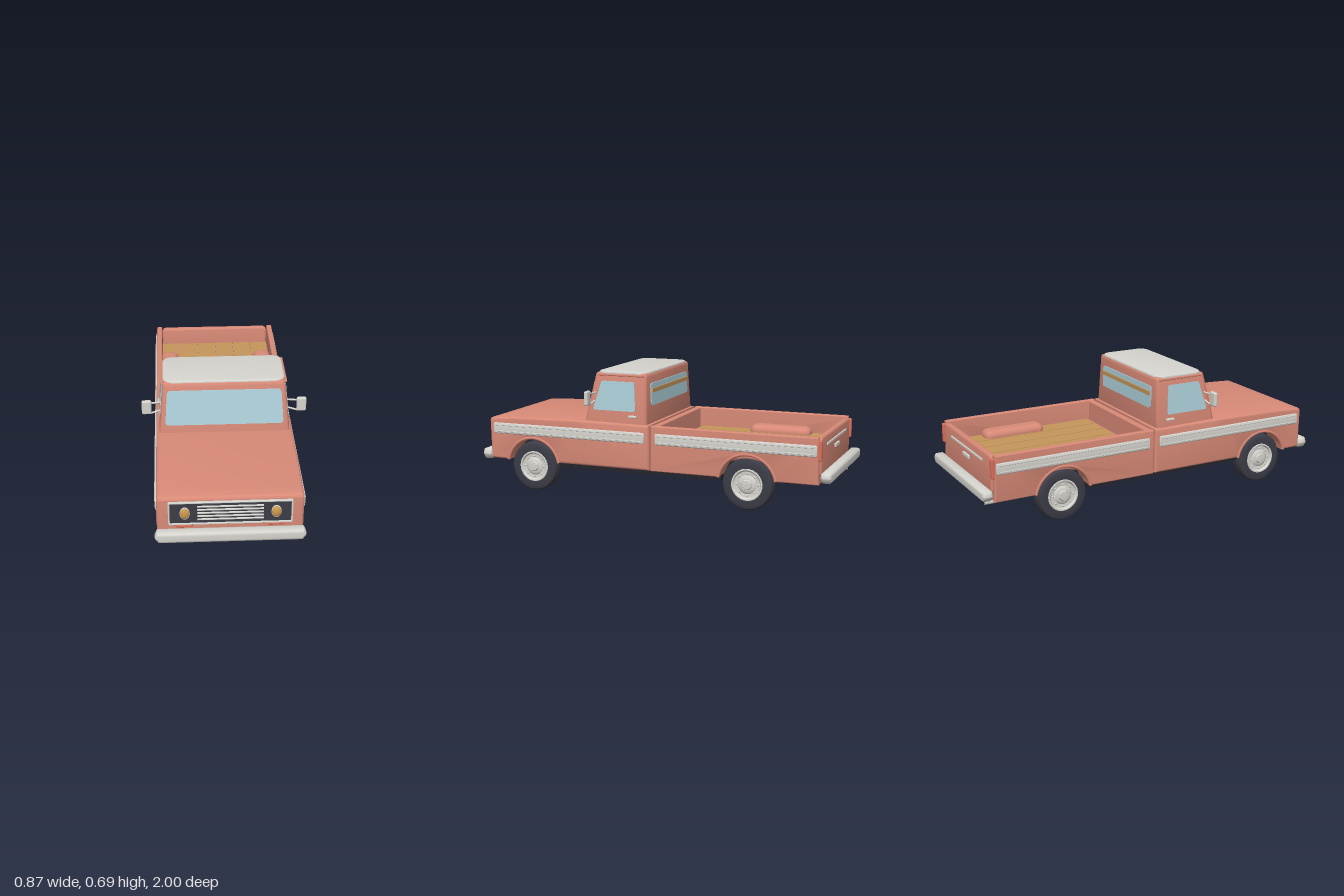
import * as THREE from 'three';
import { toCreasedNormals } from 'three/addons/utils/BufferGeometryUtils.js';
import { RoundedBoxGeometry } from 'three/addons/geometries/RoundedBoxGeometry.js';

const mat = (name, color) => Object.assign(new THREE.MeshStandardMaterial({ color }), { name });

export function createModel() {
  const paint = mat('coral paint', 0xd88a77), trim = mat('light trim', 0xd6d4ce);
  const rubber = mat('dark rubber', 0x3c3c47), under = mat('black underside', 0x24242b);
  const glass = mat('pale glass', 0xacced8), wood = mat('wood', 0xc4965a);
  const amber = mat('amber lamp', 0xcf9a4c), red = mat('red lamp', 0xd8705c);
  const truck = new THREE.Group();
  truck.name = 'pickupTruck';

  const add = (name, geo, material, x = 0, y = 0, z = 0, parent = truck) => {
    const m = new THREE.Mesh(geo, material);
    m.name = name;
    m.position.set(x, y, z);
    parent.add(m);
    return m;
  };
  const box = (name, m, x0, x1, y0, y1, z0, z1, r = 0) => {
    const s = [x1 - x0, y1 - y0, z1 - z0];
    const g = r ? new RoundedBoxGeometry(...s, 4, r) : new THREE.BoxGeometry(...s);
    return add(name, g, m, (x0 + x1) / 2, (y0 + y1) / 2, (z0 + z1) / 2);
  };
  // Polygon with rounded corners
  const poly = (pts, r) => {
    const p = pts.map(a => new THREE.Vector2(...a)), s = new THREE.Shape();
    p.forEach((c, i) => {
      const a = p[(i + p.length - 1) % p.length], b = p[(i + 1) % p.length];
      const q = c.clone().add(a.clone().sub(c).setLength(r)), e = c.clone().add(b.clone().sub(c).setLength(r));
      i ? s.lineTo(q.x, q.y) : s.moveTo(q.x, q.y);
      s.quadraticCurveTo(c.x, c.y, e.x, e.y);
    });
    s.closePath();
    return s;
  };
  const rect = (x0, y0, x1, y1, r) => poly([[x0, y0], [x1, y0], [x1, y1], [x0, y1]], r);
  // Extrusion along z, centred, with the bevel kept inside the outline
  const slab = (shape, depth, b = 0, crease = 0.6) => {
    const g = new THREE.ExtrudeGeometry(shape, {
      depth: depth - 2 * b, bevelEnabled: b > 0, bevelSize: b, bevelThickness: b,
      bevelOffset: -b, bevelSegments: 3, curveSegments: 12,
    });
    g.translate(0, 0, b - depth / 2);
    return toCreasedNormals(g, crease);
  };
  // Side profile (z, y) extruded across x
  const across = (shape, width, b) => slab(shape, width, b).rotateY(-Math.PI / 2);
  const warp = (g, rule) => {
    const p = g.attributes.position, v = new THREE.Vector3();
    for (let i = 0; i < p.count; i++) {
      rule(v.fromBufferAttribute(p, i));
      p.setXYZ(i, v.x, v.y, v.z);
    }
    g.computeVertexNormals();
    return toCreasedNormals(g, 0.6);
  };
  const rod = (name, m, a, b, r) => add(name, new THREE.TubeGeometry(
    new THREE.LineCurve3(new THREE.Vector3(...a), new THREE.Vector3(...b)), 1, r, 10), m);

  // Lower body profiles with wheel arch notches
  const wheelY = 0.143, archR = 0.152, sill = 0.17, frontZ = 0.685, rearZ = -0.555;
  const archA = Math.asin((sill - wheelY) / archR);
  const archedProfile = (wz, z0, z1, top) => {
    const s = new THREE.Shape();
    s.moveTo(z0, sill);
    s.lineTo(wz - archR * Math.cos(archA), sill);
    s.absarc(wz, wheelY, archR, Math.PI - archA, archA, true);
    s.lineTo(z1, sill);
    top(s);
    s.closePath();
    return s;
  };
  add('frontBody', across(archedProfile(frontZ, -0.01, 0.95, s => {
    s.lineTo(0.955, 0.385);
    s.quadraticCurveTo(0.955, 0.403, 0.93, 0.406);
    s.quadraticCurveTo(0.7, 0.42, 0.38, 0.42);
    s.lineTo(-0.01, 0.415);
  }), 0.722, 0.014), paint);

  // Load bed
  const flat = y => s => { s.lineTo(-0.02 - 0, y); s.lineTo(-0.93, y); };
  add('bedBase', across(archedProfile(rearZ, -0.93, -0.02, flat(0.298)), 0.69, 0), paint);
  for (const s of [-1, 1]) {
    add('bedSide', across(archedProfile(rearZ, -0.935, -0.02, flat(0.415)), 0.032, 0.007), paint, s * 0.345);
    box('wheelHouse', paint, s * 0.283 - 0.053, s * 0.283 + 0.053, 0.25, 0.348, -0.735, -0.385, 0.035);
  }
  box('bedFrontWall', paint, -0.34, 0.34, 0.28, 0.413, -0.055, -0.02, 0.008);
  for (let i = 0; i < 6; i++)
    box('bedPlank', wood, -0.33 + i * 0.11 + 0.003, -0.22 + i * 0.11 - 0.003, 0.295, 0.307, -0.915, -0.075);

  // Tailgate
  add('tailgate', slab(rect(-0.328, 0.205, 0.328, 0.41, 0.03), 0.032, 0.01), paint, 0, 0, -0.924);
  box('tailgateTrim', trim, -0.22, 0.22, 0.352, 0.366, -0.946, -0.938, 0.003);
  box('tailgateHandle', trim, -0.045, 0.045, 0.31, 0.33, -0.95, -0.938, 0.004);

  // Cab, narrowing towards the roof
  const taper = v => { v.x *= 1 - 0.07 * (v.y - 0.41) / 0.28; };
  const frontLine = y => 0.372 - (y - 0.42) * 0.225, backLine = y => 0.008 + (y - 0.42) * 0.04;
  add('cab', warp(across(poly([[0.376, 0.4], [0.312, 0.686], [0.018, 0.686], [0.008, 0.4]], 0.018), 0.692, 0.018), taper), paint);
  add('roof', slab(rect(-0.322, -0.308, 0.322, -0.022, 0.06), 0.02, 0.009).rotateX(-Math.PI / 2), trim, 0, 0.682, 0);
  for (const s of [-1, 1]) box('roofGutter', paint, s * 0.325 - 0.007, s * 0.325 + 0.007, 0.668, 0.68, 0.03, 0.3, 0.004);
  add('windshield', warp(slab(poly([[-0.312, 0.463], [0.312, 0.463], [0.3, 0.645], [-0.3, 0.645]], 0.02), 0.008),
    v => { v.z += frontLine(v.y) + 0.002; }), glass);
  add('rearWindow', warp(slab(rect(-0.272, 0.51, 0.272, 0.63, 0.018), 0.008),
    v => { v.z += backLine(v.y) - 0.002; }), glass);
  box('rearWindowRail', wood, -0.268, 0.268, 0.58, 0.602, 0.002, 0.012);
  const doorGlass = poly([[0.322, 0.482], [0.276, 0.64], [0.085, 0.64], [0.073, 0.482]], 0.014);
  for (const s of [-1, 1]) {
    add('doorWindow', warp(across(doorGlass, 0.008, 0).translate(s * 0.346, 0, 0), taper), glass);
    box('doorHandle', trim, s * 0.346 - 0.008, s * 0.346 + 0.008, 0.449, 0.462, 0.065, 0.112, 0.004);
    // Door mirrors
    box('mirror', trim, s * 0.408 - 0.026, s * 0.408 + 0.026, 0.512, 0.592, 0.312, 0.335, 0.01);
    rod('mirrorUpperArm', trim, [s * 0.325, 0.574, 0.31], [s * 0.39, 0.574, 0.322], 0.005);
    rod('mirrorLowerArm', trim, [s * 0.33, 0.53, 0.315], [s * 0.39, 0.514, 0.322], 0.005);
    // Side trim strips
    for (const [z0, z1] of [[0.015, 0.928], [-0.925, -0.045]]) {
      add('sideTrim', across(rect(z0, 0.315, z1, 0.376, 0.012), 0.012, 0.005), trim, s * 0.362);
      for (const y of [0.328, 0.364]) box('sideTrimRib', trim, s * 0.368 - 0.003, s * 0.368 + 0.003, y - 0.004, y + 0.004, z0 + 0.015, z1 - 0.015, 0.002);
    }
    // Lamps
    const lamp = new THREE.SphereGeometry(1, 24, 12).scale(0.023, 0.031, 0.012);
    add('headlight', lamp, amber, s * 0.224, 0.319, 0.964);
    add('headlightRing', new THREE.TorusGeometry(1, 0.1, 8, 28).scale(0.023, 0.032, 0.04), trim, s * 0.224, 0.319, 0.963);
    box('turnSignal', red, s * 0.226 - 0.041, s * 0.226 + 0.041, 0.232, 0.248, 0.945, 0.96, 0.006);
    box('tailLight', red, s * 0.345 - 0.014, s * 0.345 + 0.014, 0.295, 0.4, -0.948, -0.925, 0.006);
  }

  // Grille
  box('grillePanel', rubber, -0.3, 0.3, 0.257, 0.377, 0.945, 0.96);
  const frame = rect(-0.306, 0.252, 0.306, 0.384, 0.008);
  frame.holes.push(rect(-0.297, 0.261, 0.297, 0.375, 0.006));
  add('grilleFrame', slab(frame, 0.02, 0.003), trim, 0, 0, 0.957);
  for (let i = 0; i < 5; i++) box('grilleBar', trim, -0.163, 0.163, 0.278 + i * 0.0185, 0.286 + i * 0.0185, 0.955, 0.967, 0.003);

  // Bumpers with pointed ends
  const bumper = poly([[-0.355, 0], [0.355, 0], [0.375, 0.03], [0.362, 0.06], [-0.362, 0.06], [-0.375, 0.03]], 0.008);
  add('frontBumper', slab(bumper, 0.058, 0.016), trim, 0, 0.164, 0.971);
  add('rearBumper', slab(bumper, 0.058, 0.016).scale(0.98, 0.93, 1), trim, 0, 0.18, -0.971);
  box('frontPlate', trim, -0.073, 0.073, 0.177, 0.212, 0.985, 1, 0.007);

  // Underside
  box('floorPan', under, -0.335, 0.335, 0.146, 0.174, -0.41, 0.535);
  box('frontPan', under, -0.25, 0.25, 0.16, 0.174, 0.535, 0.94);
  box('rearPan', under, -0.25, 0.25, 0.158, 0.174, -0.62, -0.41);
  rod('exhaustPipe', trim, [-0.25, 0.139, -0.72], [-0.25, 0.139, -0.957], 0.012).material = trim;
  add('exhaustTip', new THREE.CylinderGeometry(0.012, 0.012, 0.004, 16).rotateX(Math.PI / 2), under, -0.25, 0.139, -0.956);

  // Wheels, axles and arches
  const lathe = pts => toCreasedNormals(new THREE.LatheGeometry(pts.map(p => new THREE.Vector2(...p)), 40).rotateZ(-Math.PI / 2), 0.7);
  const tyre = lathe([[0.001, -0.043], [0.115, -0.043], [0.13, -0.038], [0.138, -0.024], [0.138, 0.024], [0.13, 0.038], [0.115, 0.043], [0.085, 0.04], [0.08, 0.03], [0.001, 0.03]]);
  const rim = lathe([[0.086, 0.036], [0.084, 0.045], [0.077, 0.045], [0.07, 0.036], [0.05, 0.034], [0.042, 0.041], [0.028, 0.042], [0.024, 0.049], [0.001, 0.051]]);
  for (const wz of [frontZ, rearZ]) {
    box('wheelWell', under, -0.255, 0.255, 0.16, 0.292, wz - 0.155, wz + 0.155);
    box('axle', rubber, -0.28, 0.28, 0.121, 0.162, wz - 0.02, wz + 0.02);
    for (const s of [-1, 1]) {
      const wheel = new THREE.Group();
      wheel.name = 'wheel';
      wheel.position.set(s * 0.309, wheelY - 0.003, wz);
      wheel.rotation.y = s > 0 ? 0 : Math.PI;
      truck.add(wheel);
      add('tyre', tyre, rubber, 0, 0, 0, wheel);
      add('rim', rim, trim, 0, 0, 0, wheel);
      for (let i = 0; i < 8; i++) {
        const a = i * Math.PI / 4;
        add('wheelNut', new THREE.SphereGeometry(0.006, 8, 6), trim, 0.036, Math.cos(a) * 0.058, Math.sin(a) * 0.058, wheel);
      }
      add('archLip', new THREE.TorusGeometry(0.158, 0.009, 8, 32, Math.PI - 2 * archA).rotateZ(archA).rotateY(Math.PI / 2),
        paint, s * 0.357, wheelY, wz);
    }
  }
  return truck;
}
